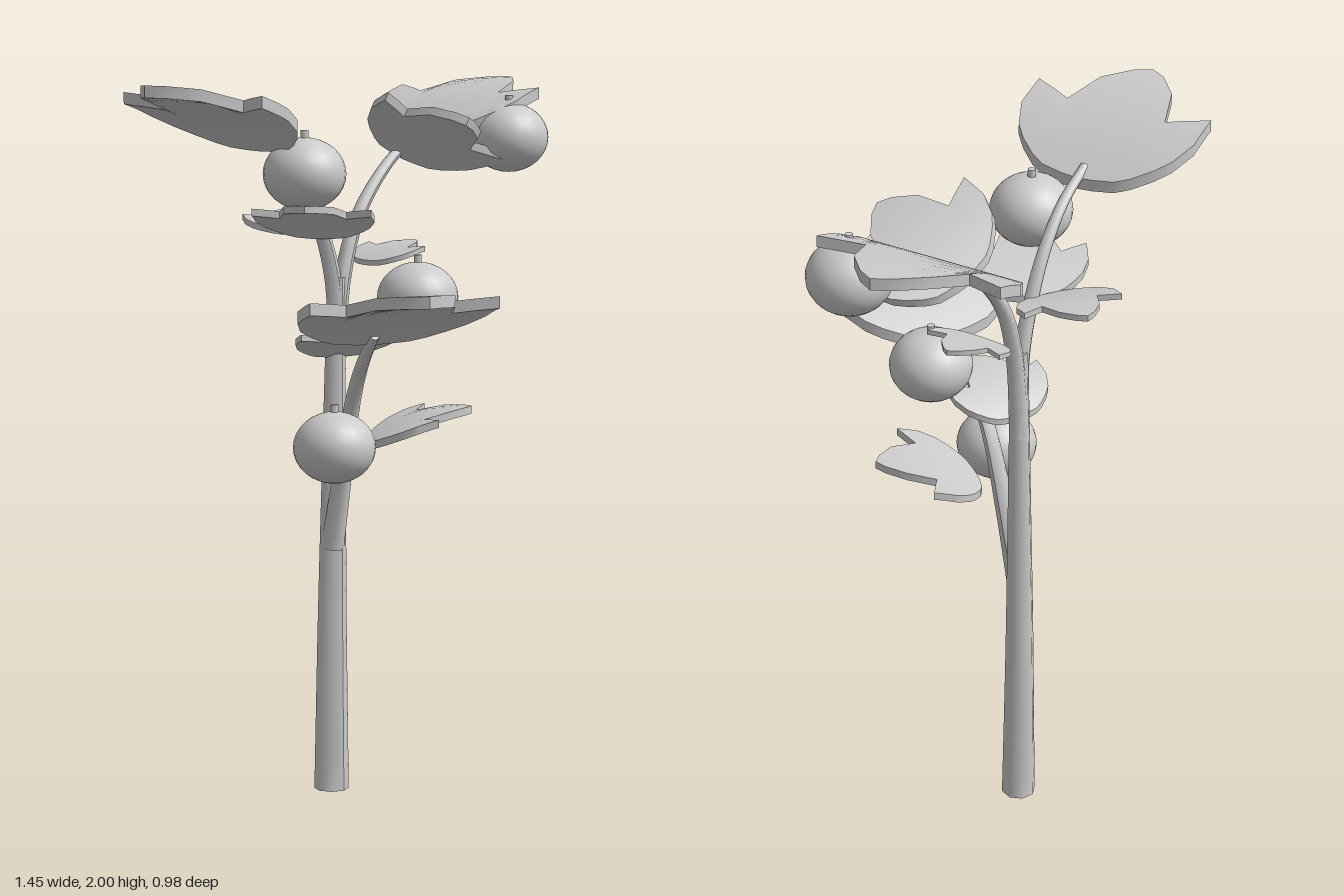
import * as THREE from 'three';
import { toCreasedNormals } from 'three/addons/utils/BufferGeometryUtils.js';

const grey = new THREE.MeshStandardMaterial({ color: 0xcccccc });

function add(parent, name, geometry) {
  const mesh = new THREE.Mesh(geometry, grey);
  mesh.name = name;
  parent.add(mesh);
  return mesh;
}

// Tapered tube along a smooth path, closed by a disc at the start and end
function stalk(parent, name, points, r0, r1) {
  const path = new THREE.CatmullRomCurve3(points.map(p => new THREE.Vector3(...p)));
  const rings = 20, sides = 8;
  const geo = new THREE.TubeGeometry(path, rings, 1, sides);
  const pos = geo.attributes.position, v = new THREE.Vector3();
  for (let i = 0; i < pos.count; i++) {
    const t = Math.floor(i / (sides + 1)) / rings;
    const c = path.getPointAt(t);
    v.fromBufferAttribute(pos, i).sub(c).multiplyScalar(r0 + (r1 - r0) * t).add(c);
    pos.setXYZ(i, v.x, v.y, v.z);
  }
  geo.computeVertexNormals();
  const group = new THREE.Group();
  group.name = name;
  add(group, name + 'Tube', geo);
  for (const [t, r] of [[0, r0], [1, r1]]) {
    const cap = add(group, name + 'Cap', new THREE.CircleGeometry(r, sides));
    const p = path.getPointAt(t);
    cap.position.copy(p);
    cap.lookAt(p.clone().addScaledVector(path.getTangentAt(t), t ? 1 : -1));
  }
  parent.add(group);
}

// Half outline of a three-lobed leaf: [side distance, base edge, outer edge]
const outline = [
  [0, 0, 0.425], [0.047, 0.003, 0.397], [0.11, 0.012, 0.327], [0.15, 0.03, 0.214],
  [0.2, 0.065, 0.235], [0.235, 0.1, 0.248], [0.265, 0.165, 0.26],
];

// A box whose columns follow the outline, arched from base to tip
function leafGeometry(slope) {
  const half = outline.length - 1, columns = half * 2;
  const geo = new THREE.BoxGeometry(1, 1, 1, columns, 1, 8);
  const pos = geo.attributes.position;
  for (let i = 0; i < pos.count; i++) {
    const k = Math.round((pos.getX(i) + 0.5) * columns) - half;
    const [side, inner, outer] = outline[Math.abs(k)];
    const u = inner + (outer - inner) * (pos.getZ(i) + 0.5);
    const y = slope * (u - 1.14 * u * u) + pos.getY(i) * 0.032;
    pos.setXYZ(i, Math.sign(k) * side, y, u);
  }
  return toCreasedNormals(geo, 0.6);
}

export function createModel() {
  const plant = new THREE.Group();
  plant.name = 'fruitingPlant';

  // Stem and branches
  stalk(plant, 'mainStem', [[-0.03, 0, -0.23], [-0.025, 0.5, -0.23], [-0.018, 1, -0.227], [-0.01, 1.46, -0.225]], 0.049, 0.025);
  stalk(plant, 'rightBranch', [[-0.012, 1.2, -0.226], [-0.018, 1.43, -0.226], [-0.06, 1.58, -0.228], [-0.125, 1.71, -0.23], [-0.22, 1.81, -0.23], [-0.34, 1.87, -0.228]], 0.028, 0.013);
  stalk(plant, 'leftBranch', [[-0.012, 1.25, -0.226], [0.015, 1.45, -0.226], [0.08, 1.62, -0.23], [0.2, 1.76, -0.234], [0.34, 1.86, -0.235]], 0.028, 0.013);
  stalk(plant, 'frontBranch', [[-0.033, 0.7, -0.22], [-0.05, 0.94, -0.16], [-0.085, 1.13, -0.09], [-0.15, 1.25, 0.01], [-0.23, 1.34, 0.13]], 0.032, 0.014);

  // Leaves: name, base, pointing direction (x, z), size, slope, sideways tilt
  const leaves = [
    ['topRightLeaf', [-0.3, 1.835, -0.222], [-1, 0], 1, 0.7, 0],
    ['topLeftLeaf', [0.3, 1.835, -0.237], [1, 0], 1, 0.7, 0],
    ['frontLeaf', [-0.205, 1.325, 0.09], [-0.43, 0.9], 1, 0.62, 0],
    ['backLeaf', [-0.115, 1.59, -0.26], [0.577, -0.817], 0.53, 0.35, 0],
    ['upperFrontLeaf', [-0.08, 1.58, -0.215], [-0.82, 0.57], 0.62, 0.65, 0],
    ['leftBranchLeaf', [0.27, 1.79, -0.23], [-0.37, 0.89], 0.75, 0.7, -0.44],
    ['leftSideLeaf', [0.05, 1.5, -0.165], [1, 0.08], 0.44, 0.5, 0],
    ['middleLeaf', [-0.02, 1.245, -0.22], [-0.45, 0.87], 0.55, 0.65, 0],
    ['lowerLeaf', [-0.035, 1.01, -0.08], [0.75, 0.66], 0.68, 0.6, 0],
  ];
  for (const [name, base, [dx, dz], size, slope, tilt] of leaves) {
    const leaf = add(plant, name, leafGeometry(slope));
    leaf.position.set(...base);
    leaf.rotation.set(0, Math.atan2(dx, dz), tilt, 'YXZ');
    leaf.scale.setScalar(size);
  }

  // Round fruits, each with a small stub on top
  const fruits = [[-0.235, 1.76, -0.125], [0.475, 1.84, -0.012], [0.097, 1.41, -0.015], [-0.212, 1.02, -0.038]];
  for (const centre of fruits) {
    const fruit = new THREE.Group();
    fruit.name = 'fruit';
    add(fruit, 'fruitBody', new THREE.SphereGeometry(0.113, 24, 16)).scale.y = 0.87;
    add(fruit, 'fruitStub', new THREE.CylinderGeometry(0.011, 0.011, 0.04, 8)).position.y = 0.098;
    fruit.position.set(...centre);
    plant.add(fruit);
  }
  return plant;
}
